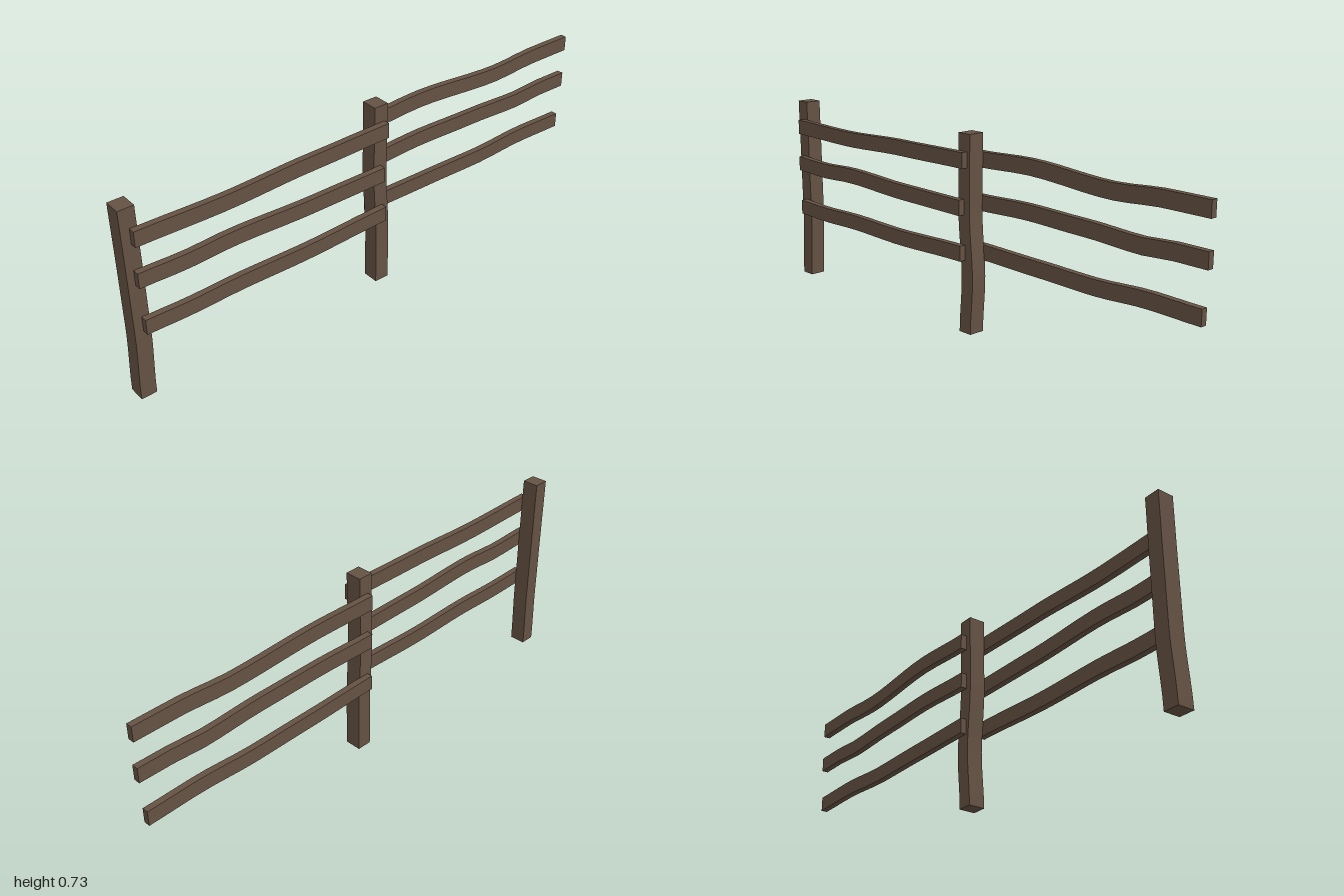
import * as THREE from 'three';

const wood = new THREE.MeshStandardMaterial({ color: 0x655244 });
wood.name = 'weathered brown wood';

// Samples a list of [position, a, b] stations
function sample(stations, t) {
  let i = 0;
  while (i < stations.length - 2 && t > stations[i + 1][0]) i++;
  const p = stations[i], q = stations[i + 1];
  const k = THREE.MathUtils.smoothstep(t, p[0], q[0]);
  return [p[1] + (q[1] - p[1]) * k, p[2] + (q[2] - p[2]) * k];
}

// Square post bent through stations [y, x, z]
function post(name, stations) {
  const h = stations[stations.length - 1][0];
  const geo = new THREE.BoxGeometry(0.057, h, 0.062, 1, 14, 1).translate(0, h / 2, 0);
  const pos = geo.attributes.position;
  for (let i = 0; i < pos.count; i++) {
    const [x, z] = sample(stations, pos.getY(i));
    pos.setX(i, pos.getX(i) + x);
    pos.setZ(i, pos.getZ(i) + z);
  }
  geo.computeVertexNormals();
  const mesh = new THREE.Mesh(geo, wood);
  mesh.name = name;
  return mesh;
}

// Flat plank waving through stations [x, y, z]
function rail(name, stations) {
  const x0 = stations[0][0], x1 = stations[stations.length - 1][0];
  const geo = new THREE.BoxGeometry(x1 - x0, 0.057, 0.024, 16, 1, 1).translate((x0 + x1) / 2, 0, 0);
  const pos = geo.attributes.position;
  for (let i = 0; i < pos.count; i++) {
    const [y, z] = sample(stations, pos.getX(i));
    pos.setY(i, pos.getY(i) + y);
    pos.setZ(i, pos.getZ(i) + z);
  }
  geo.computeVertexNormals();
  const mesh = new THREE.Mesh(geo, wood);
  mesh.name = name;
  return mesh;
}

export function createModel() {
  const fence = new THREE.Group();
  fence.name = 'fence';

  // Posts
  fence.add(
    post('endPost', [[0, -0.971, 0.001], [0.25, -0.961, -0.001], [0.5, -0.961, 0], [0.728, -0.962, 0.001]]),
    post('middlePost', [[0, 0.012, 0.003], [0.2, 0.018, -0.002], [0.45, 0.005, 0.001], [0.728, 0.008, 0.002]]),
  );

  // Front rails between the two posts
  const front = [
    [[-0.96, 0.627, 0.045], [-0.65, 0.622, 0.046], [-0.3, 0.633, 0.045], [0.022, 0.637, 0.045]],
    [[-0.965, 0.476, 0.045], [-0.8, 0.471, 0.045], [-0.62, 0.479, 0.046], [-0.3, 0.468, 0.045], [0.005, 0.466, 0.044]],
    [[-0.96, 0.294, 0.045], [-0.8, 0.291, 0.046], [-0.6, 0.296, 0.046], [-0.35, 0.291, 0.045], [0.012, 0.301, 0.045]],
  ];
  // Back rails running on past the middle post
  const back = [
    [[0, 0.63, -0.042], [0.25, 0.638, -0.047], [0.62, 0.62, -0.042], [0.83, 0.632, -0.042], [0.998, 0.632, -0.042]],
    [[0, 0.474, -0.041], [0.25, 0.482, -0.043], [0.5, 0.478, -0.041], [0.75, 0.468, -0.042], [0.87, 0.476, -0.042], [0.998, 0.476, -0.041]],
    [[0, 0.296, -0.041], [0.3, 0.292, -0.042], [0.55, 0.289, -0.041], [0.78, 0.3, -0.041], [0.985, 0.296, -0.041]],
  ];
  const levels = ['Top', 'Middle', 'Bottom'];
  front.forEach((s, i) => fence.add(rail('front' + levels[i] + 'Rail', s)));
  back.forEach((s, i) => fence.add(rail('back' + levels[i] + 'Rail', s)));
  return fence;
}
